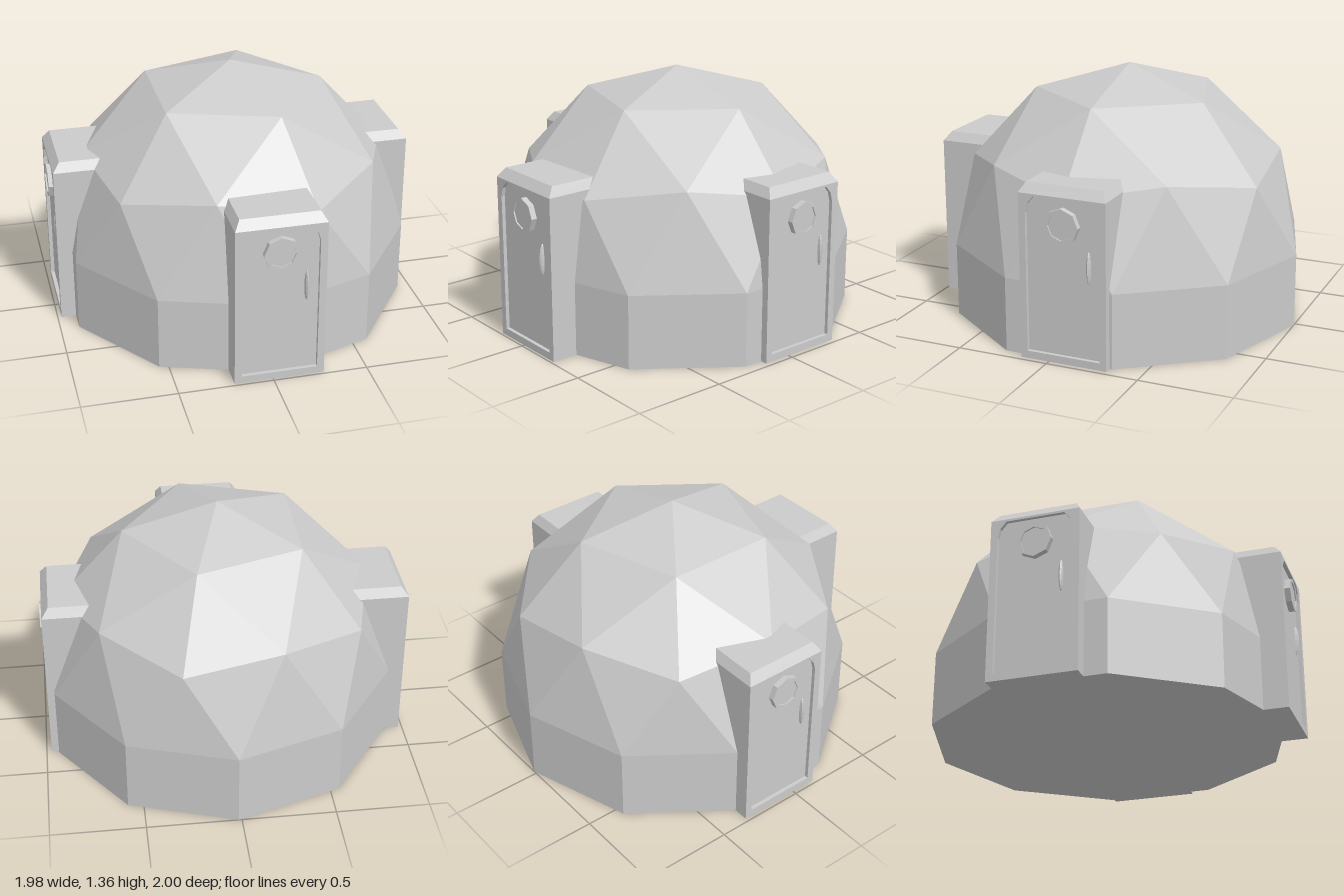
import * as THREE from 'three';

const CX = 0.017, CZ = -0.037, R = 0.963, BASE = 0.4; // dome centre, radius, wall height

const grey = new THREE.MeshStandardMaterial({ color: 0xcccccc, flatShading: true });

function addMesh(parent, name, geometry, x = 0, y = 0, z = 0) {
  const mesh = new THREE.Mesh(geometry, grey);
  mesh.name = name;
  mesh.position.set(x, y, z);
  parent.add(mesh);
  return mesh;
}

// Geodesic dome on a ten-sided wall, built sector by sector from its rings
function domeGeometry() {
  const pos = [];
  const ring = (r, y) => (deg) => {
    const t = THREE.MathUtils.degToRad(deg);
    return [CX + R * r * Math.cos(t), y, CZ - R * r * Math.sin(t)];
  };
  const crown = ring(0.5257, BASE + R * 0.8507);
  const hub = ring(0.8944, BASE + R * 0.4472);
  const mid = ring(0.8507, BASE + R * 0.5257);
  const rim = ring(1, BASE);
  const foot = ring(1, 0);
  const top = [CX, BASE + R, CZ];
  const floor = [CX, 0, CZ];
  const tri = (...corners) => corners.forEach((c) => pos.push(...c));

  for (let a = 0; a < 360; a += 72) {
    const b = a + 72, m = mid(a + 36);
    tri(top, crown(a), crown(b));
    tri(crown(a), hub(a), m);
    tri(crown(a), m, crown(b));
    tri(crown(b), m, hub(b));
    tri(hub(a), rim(a - 18), rim(a + 18));
    tri(hub(a), rim(a + 18), m);
    tri(m, rim(a + 18), rim(a + 54));
    tri(m, rim(a + 54), hub(b));
  }
  for (let a = 18; a < 360; a += 36) {
    const b = a + 36;
    tri(rim(a), foot(a), foot(b));
    tri(rim(a), foot(b), rim(b));
    tri(floor, foot(b), foot(a));
  }
  const geo = new THREE.BufferGeometry();
  geo.setAttribute('position', new THREE.Float32BufferAttribute(pos, 3));
  geo.computeVertexNormals();
  return geo;
}

const polygon = (points, Kind = THREE.Shape) =>
  new Kind(points.map(([x, y]) => new THREE.Vector2(x, y)));

const octagon = (r) => Array.from({ length: 8 }, (_, i) =>
  [r * Math.cos(i * Math.PI / 4), r * Math.sin(i * Math.PI / 4)]);

// Porch with its front face on local z = 0, reaching back into the dome
function createPorch(name) {
  const porch = new THREE.Group();
  porch.name = name;
  const w = 0.475, h = 0.88, depth = 0.42, recess = 0.02;

  addMesh(porch, 'porchBody', new THREE.BoxGeometry(w, h, depth - recess), 0, h / 2, -(depth + recess) / 2);

  // Frame around the recessed door
  const frame = polygon([[-w / 2, 0], [w / 2, 0], [w / 2, h], [-w / 2, h]]);
  frame.holes.push(polygon([
    [-0.2, 0.04], [-0.2, 0.78], [-0.187, 0.83], [-0.155, 0.868],
    [0.155, 0.868], [0.187, 0.83], [0.2, 0.78], [0.2, 0.04],
  ], THREE.Path));
  addMesh(porch, 'doorFrame',
    new THREE.ExtrudeGeometry(frame, { depth: recess, bevelEnabled: false }), 0, 0, -recess);

  // Roof slab with its front and sides sloped inward
  const roof = new THREE.BoxGeometry(w, 0.05, depth);
  const p = roof.attributes.position;
  for (let i = 0; i < p.count; i++) {
    if (p.getY(i) < 0) continue;
    p.setX(i, p.getX(i) - Math.sign(p.getX(i)) * 0.03);
    if (p.getZ(i) > 0) p.setZ(i, p.getZ(i) - 0.038);
  }
  roof.computeVertexNormals();
  addMesh(porch, 'porchRoof', roof, 0, h + 0.025, -depth / 2);

  // Octagonal porthole
  const rim = polygon(octagon(0.093));
  rim.holes.push(polygon(octagon(0.073), THREE.Path));
  addMesh(porch, 'windowRim',
    new THREE.ExtrudeGeometry(rim, { depth: 0.032, bevelEnabled: false }), 0, 0.733, -recess);
  addMesh(porch, 'windowPane',
    new THREE.ExtrudeGeometry(polygon(octagon(0.074)), { depth: 0.024, bevelEnabled: false }), 0, 0.733, -recess);

  // Slim pointed handle
  const handle = addMesh(porch, 'doorHandle', new THREE.SphereGeometry(1, 8, 8), 0.138, 0.527, -recess);
  handle.scale.set(0.012, 0.085, 0.022);
  return porch;
}

export function createModel() {
  const model = new THREE.Group();
  model.name = 'domeHouse';
  addMesh(model, 'dome', domeGeometry());

  const porches = [
    ['frontPorch', 0.033, 0.986, 0],
    ['leftPorch', 0.972, -0.082, Math.PI / 2],
    ['rightPorch', -0.979, -0.098, -Math.PI / 2],
  ];
  for (const [name, x, z, turn] of porches) {
    const porch = createPorch(name);
    porch.position.set(x, 0, z);
    porch.rotation.y = turn;
    model.add(porch);
  }
  return model;
}
